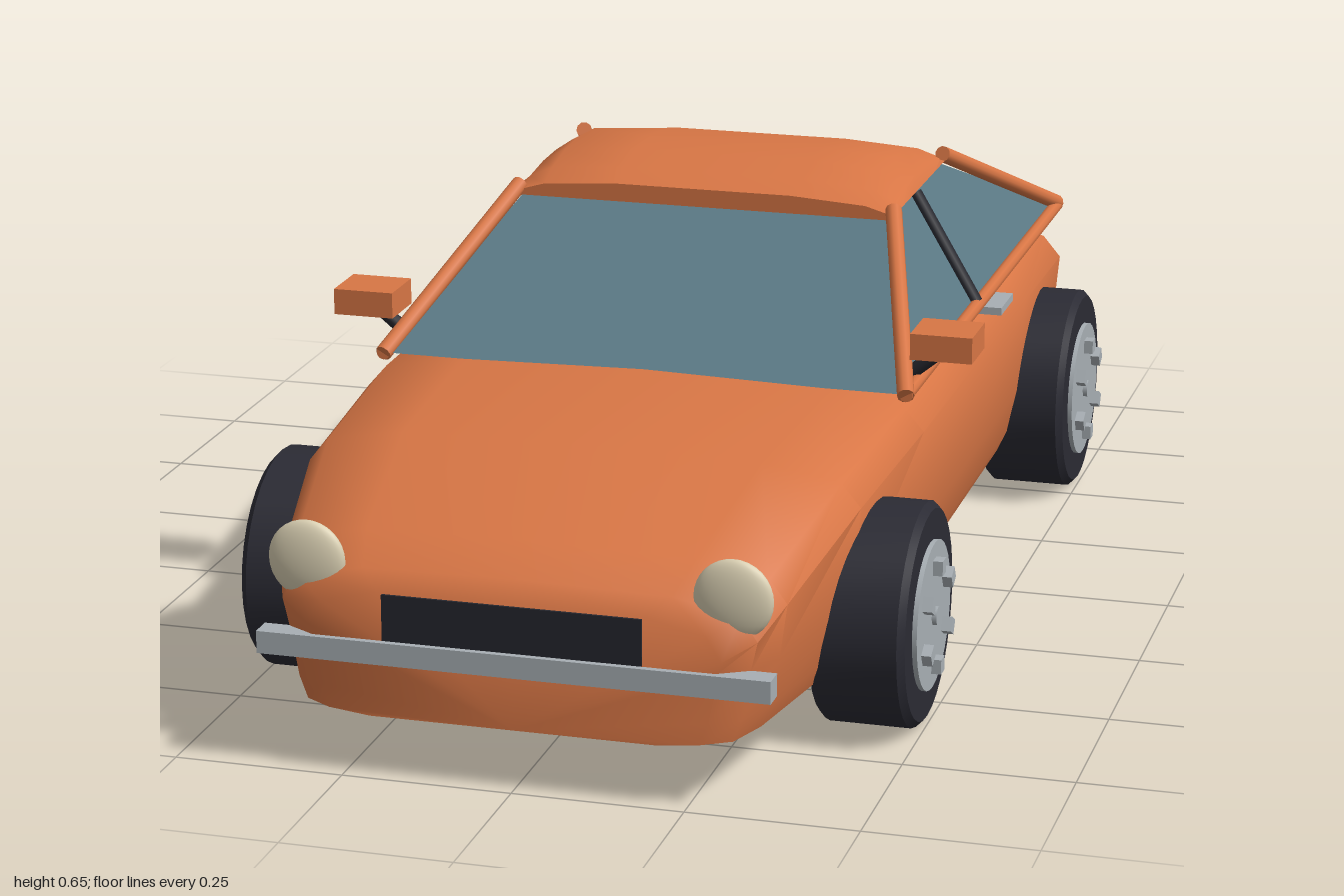
import * as THREE from 'three';
import { toCreasedNormals } from 'three/addons/utils/BufferGeometryUtils.js';
import { ConvexGeometry } from 'three/addons/geometries/ConvexGeometry.js';

const V = (x, y, z) => new THREE.Vector3(x, y, z);
const material = (name, color) => {
  const m = new THREE.MeshStandardMaterial({ color });
  m.name = name;
  return m;
};

// Closed loft through half cross-sections (bottom centre to top centre), listed front to back
function loft(sections, crease) {
  const rings = sections.map(({ z, half }) => [
    ...half.map(([x, y]) => [x, y, z]),
    ...half.slice(1, -1).reverse().map(([x, y]) => [-x, y, z]),
  ]);
  const n = rings[0].length, last = rings.length - 1, index = [];
  for (let i = 0; i < last; i++) {
    for (let k = 0; k < n; k++) {
      const a = i * n + k, b = i * n + (k + 1) % n;
      index.push(a, a + n, b + n, a, b + n, b);
    }
  }
  for (let k = 1; k < n - 1; k++) {
    index.push(0, k, k + 1, last * n, last * n + k + 1, last * n + k);
  }
  const g = new THREE.BufferGeometry();
  g.setAttribute('position', new THREE.Float32BufferAttribute(rings.flat(2), 3));
  g.setIndex(index);
  return toCreasedNormals(g, crease);
}

export function createModel() {
  const car = new THREE.Group();
  car.name = 'car';
  const paint = material('orange paint', 0xd87645);
  const glass = material('tinted glass', 0x5b7985);
  const rubber = material('black rubber', 0x2b2b34);
  const chrome = material('chrome', 0xa8afb4);
  const lamp = material('cream lamp', 0xd9cfb2);
  const red = material('red lamp', 0x8a2a24);
  const dark = material('dark trim', 0x25262d);

  const add = (name, geometry, mat, parent = car) => {
    const m = new THREE.Mesh(geometry, mat);
    m.name = name;
    parent.add(m);
    return m;
  };
  const box = (name, mat, size, pos, parent) => {
    const m = add(name, new THREE.BoxGeometry(...size), mat, parent);
    m.position.set(...pos);
    return m;
  };
  const rod = (name, mat, a, b, r) => {
    const m = add(name, new THREE.CylinderGeometry(r, r, a.distanceTo(b), 10), mat);
    m.position.copy(a).lerp(b, 0.5);
    m.quaternion.setFromUnitVectors(V(0, 1, 0), b.clone().sub(a).normalize());
    return m;
  };

  // Body: z, half width, top height
  const stations = [
    [0.99, 0.3, 0.275], [0.965, 0.345, 0.3], [0.9, 0.37, 0.335], [0.66, 0.415, 0.4],
    [0.35, 0.435, 0.42], [0, 0.437, 0.422], [-0.4, 0.435, 0.415], [-0.78, 0.418, 0.387],
    [-0.98, 0.305, 0.28],
  ];
  add('body', loft(stations.map(([z, w, t]) => ({
    z,
    half: [
      [0, 0.09], [0.7 * w, 0.09], [0.9 * w, 0.097], [0.935 * w, 0.13], [0.97 * w, 0.2],
      [w, t - 0.055], [0.93 * w, t - 0.02], [0.65 * w, t], [0, t + 0.004],
    ],
  })), 0.8), paint);
  box('underbody', dark, [0.59, 0.03, 1.68], [0, 0.08, 0.01]);

  // Cabin glass
  const corners = [];
  for (const s of [-1, 1]) {
    corners.push(V(s * 0.405, 0.42, 0.35), V(s * 0.405, 0.42, -0.79),
      V(s * 0.295, 0.592, 0), V(s * 0.295, 0.592, -0.36));
  }
  add('cabinGlass', new ConvexGeometry(corners), glass);

  // Domed roof
  const roof = [[0.005, 0.618], [-0.04, 0.634], [-0.11, 0.647], [-0.18, 0.65], [-0.27, 0.643], [-0.36, 0.622]];
  add('roof', loft(roof.map(([z, t]) => ({
    z,
    half: [[0, 0.585], [0.295, 0.585], [0.308, 0.6], [0.298, t - 0.012 - (t - 0.6) * 0.4],
      [0.26, t - 0.008], [0.14, t], [0, t]],
  })), 0.8), paint);

  // Wheel profile: radius, position along the axle
  const tyre = toCreasedNormals(new THREE.LatheGeometry([
    [0, -0.07], [0.155, -0.07], [0.165, -0.06], [0.165, 0.06], [0.155, 0.07], [0, 0.07],
  ].map(([r, y]) => new THREE.Vector2(r, y)), 32), 0.6);

  for (const s of [-1, 1]) {
    const side = s > 0 ? 'left' : 'right';

    // Pillars and window rail
    rod(side + 'FrontPillar', paint, V(s * 0.408, 0.42, 0.355), V(s * 0.303, 0.605, -0.005), 0.013);
    rod(side + 'RearPillar', paint, V(s * 0.408, 0.425, -0.79), V(s * 0.303, 0.61, -0.35), 0.013);
    rod(side + 'WindowRail', paint, V(s * 0.408, 0.421, 0.355), V(s * 0.408, 0.421, -0.79), 0.011);
    rod(side + 'MiddlePillar', dark, V(s * 0.406, 0.425, -0.145), V(s * 0.3, 0.592, -0.165), 0.011);

    // Mirror, door handle and side trim
    rod(side + 'MirrorStalk', dark, V(s * 0.395, 0.43, 0.275), V(s * 0.45, 0.475, 0.275), 0.011);
    box(side + 'Mirror', paint, [0.094, 0.04, 0.088], [s * 0.452, 0.485, 0.275]);
    box(side + 'DoorHandle', chrome, [0.04, 0.012, 0.09], [s * 0.422, 0.405, -0.215]);
    for (const z of [0.455, 0.407]) {
      box(side + 'SideTrim', dark, [0.02, 0.014, 0.024], [s * 0.422, 0.268, z]);
    }

    // Lamps and exhaust
    const head = add(side + 'Headlight', new THREE.SphereGeometry(1, 24, 16), lamp);
    head.scale.set(0.057, 0.058, 0.018);
    head.position.set(s * 0.309, 0.302, 0.958);
    box(side + 'TailLight', red, [0.14, 0.055, 0.03], [s * 0.19, 0.228, -0.985]);
    rod(side + 'Exhaust', chrome, V(s * 0.205, 0.14, -0.93), V(s * 0.205, 0.14, -0.992), 0.019);

    // Wheels with hub disc and six bolts
    for (const [end, z] of [['Front', 0.58], ['Rear', -0.57]]) {
      const wheel = new THREE.Group();
      wheel.name = side + end + 'Wheel';
      wheel.position.set(s * 0.428, 0.165, z);
      wheel.rotation.z = -s * Math.PI / 2;
      car.add(wheel);
      add('tyre', tyre, rubber, wheel);
      add('hub', new THREE.CylinderGeometry(0.11, 0.11, 0.02, 32), chrome, wheel).position.y = 0.067;
      add('hubCap', new THREE.CylinderGeometry(0.014, 0.014, 0.02, 12), chrome, wheel).position.y = 0.074;
      for (let i = 0; i < 6; i++) {
        const a = i * Math.PI / 3;
        box('bolt', chrome, [0.022, 0.025, 0.022],
          [Math.cos(a) * 0.075, 0.079, Math.sin(a) * 0.075], wheel).rotation.y = -a;
      }
    }
  }

  // Grille and bumpers
  box('grille', dark, [0.376, 0.068, 0.02], [0, 0.239, 0.984]);
  box('frontBumper', chrome, [0.745, 0.033, 0.035], [0, 0.187, 0.982]);
  box('rearBumper', chrome, [0.745, 0.033, 0.035], [0, 0.187, -0.97]);
  return car;
}
